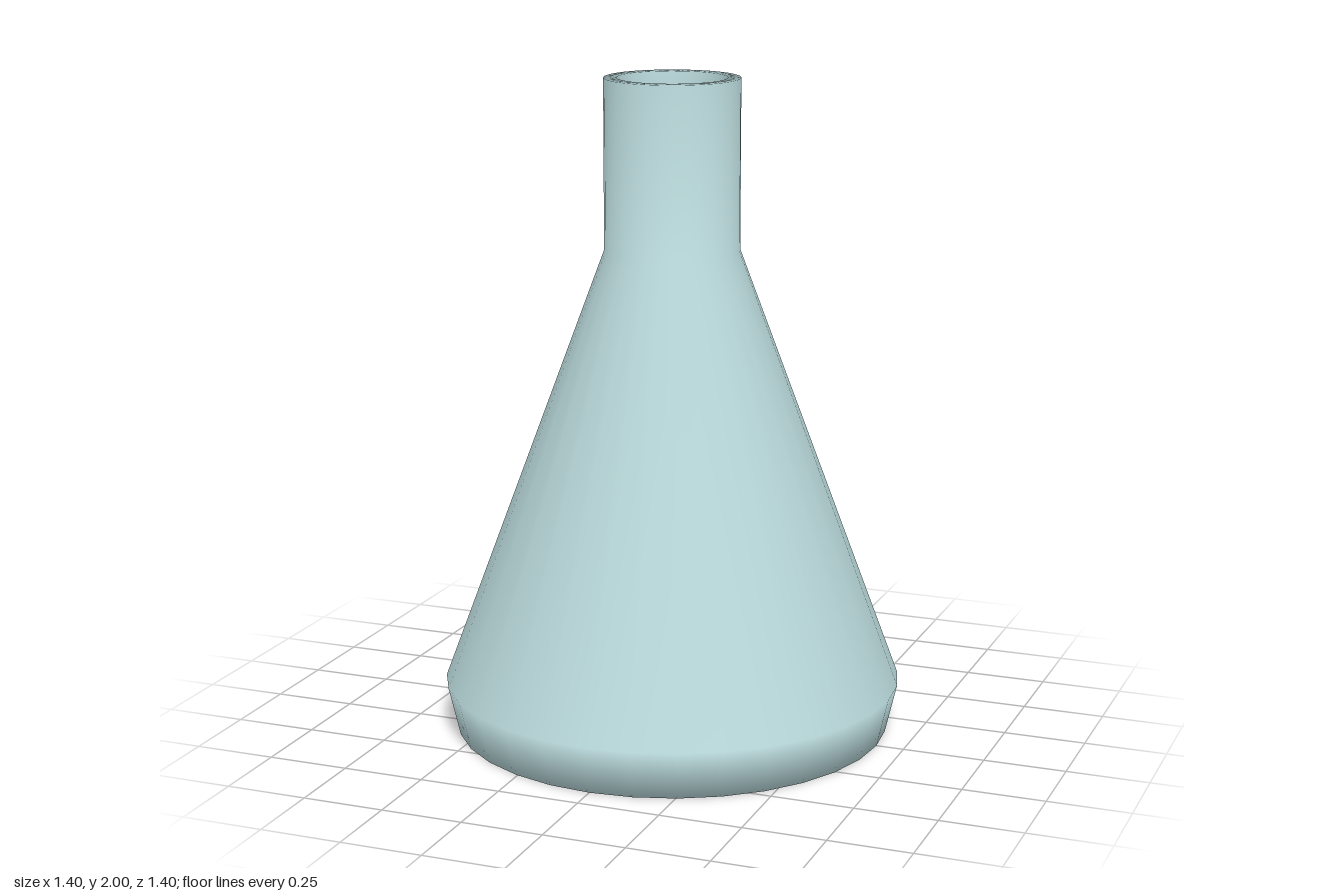
import * as THREE from 'three';

export function createModel() {
  const group = new THREE.Group();
  group.name = 'conicalFlask';

  const glass = new THREE.MeshStandardMaterial({ color: 0xbcdcde });
  glass.name = 'pale aqua glass';

  // Closed wall profile: underside, outer wall, rim, then inner wall down to the floor
  const profile = [
    [0, 0], [0.665, 0], [0.7, 0.15], [0.204, 1.485], [0.204, 2],
    [0.165, 2], [0.165, 1.478], [0.658, 0.15], [0.63, 0.04], [0, 0.04],
  ].map(([r, y]) => new THREE.Vector2(r, y));

  // Smooth shading rolls over every corner of the profile
  const flask = new THREE.Mesh(new THREE.LatheGeometry(profile, 32), glass);
  flask.name = 'flaskBody';
  group.add(flask);

  return group;
}
